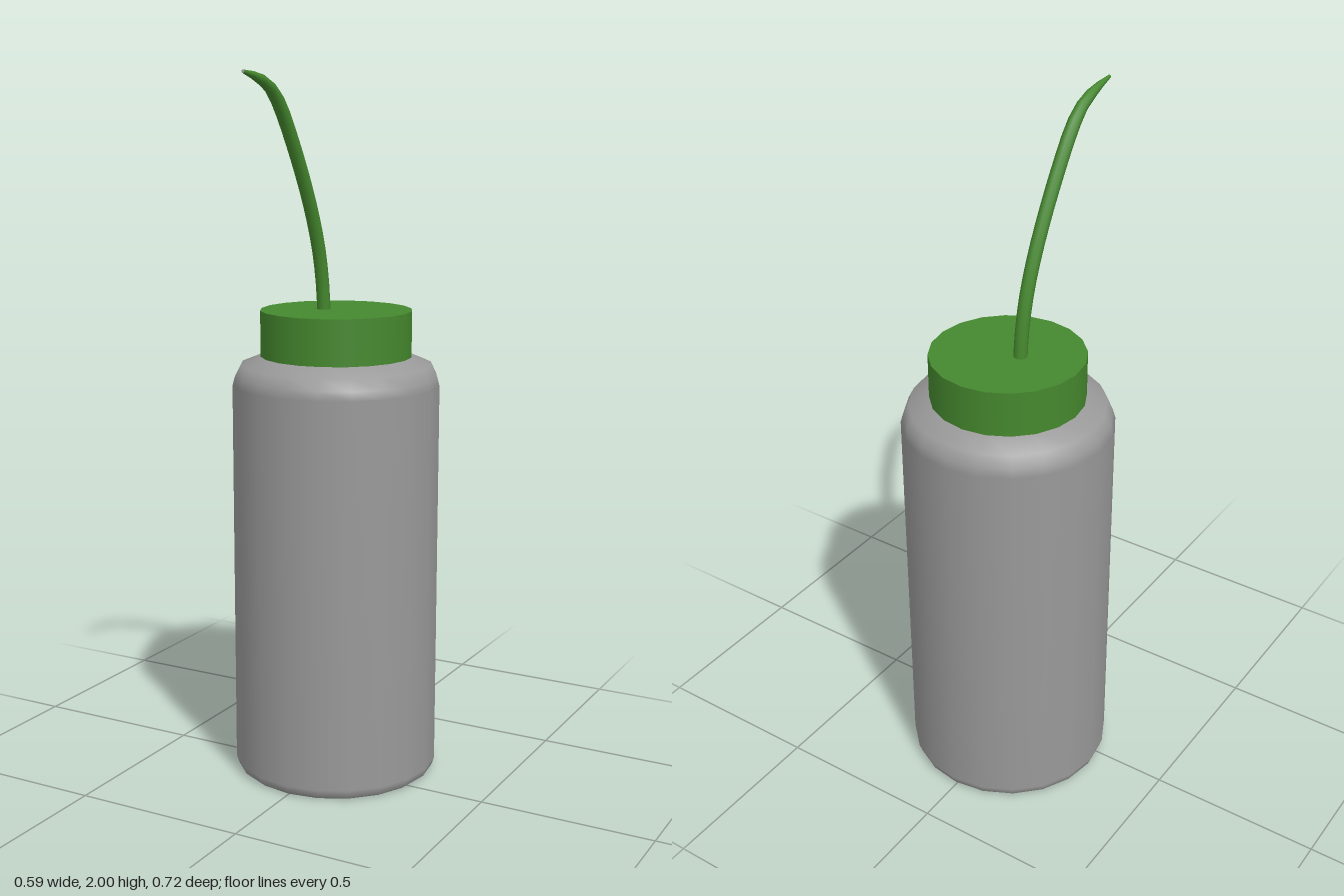
import * as THREE from 'three';

const SIDES = 20;
const AXIS_Z = -0.066;

export function createModel() {
  const model = new THREE.Group();
  model.name = 'squeezeBottle';

  const grey = new THREE.MeshStandardMaterial({ color: 0x999999 });
  grey.name = 'bottle grey';
  const green = new THREE.MeshStandardMaterial({ color: 0x45882e });
  green.name = 'lid green';

  const add = (name, geometry, material, x, y, z) => {
    const mesh = new THREE.Mesh(geometry, material);
    mesh.name = name;
    mesh.position.set(x, y, z);
    model.add(mesh);
    return mesh;
  };

  // Bottle wall with a rounded shoulder and a small foot bevel
  const profile = [
    [0.278, 0], [0.288, 0.008], [0.295, 0.03], [0.295, 1.14],
    [0.288, 1.165], [0.272, 1.197], [0.21, 1.222],
  ].map(([r, y]) => new THREE.Vector2(r, y));
  add('bottleBody', new THREE.LatheGeometry(profile, SIDES), grey, 0, 0, AXIS_Z);

  // Flat underside
  const base = new THREE.CircleGeometry(0.278, SIDES);
  base.rotateX(Math.PI / 2);
  base.rotateY(Math.PI / 2);
  add('bottleBase', base, grey, 0, 0, AXIS_Z);

  // Screw lid
  add('lid', new THREE.CylinderGeometry(0.215, 0.215, 0.13, SIDES), green, 0, 1.285, AXIS_Z);

  // Curved spout, tapering towards its tip
  const path = new THREE.CatmullRomCurve3([
    [1.33, -0.064], [1.42, -0.055], [1.52, -0.033], [1.62, 0.005], [1.72, 0.055],
    [1.82, 0.114], [1.9, 0.168], [1.95, 0.215], [1.98, 0.28], [1.996, 0.36],
  ].map(([y, z]) => new THREE.Vector3(0, y, z)));
  const rings = 18;
  const round = 10;
  const spout = new THREE.TubeGeometry(path, rings, 0.019, round, false);
  const pos = spout.attributes.position;
  const point = new THREE.Vector3();
  for (let i = 0; i <= rings; i++) {
    const t = i / rings;
    const centre = path.getPointAt(t);
    const scale = t < 0.76
      ? 1
      : t < 0.9
        ? THREE.MathUtils.mapLinear(t, 0.76, 0.9, 1, 0.74)
        : THREE.MathUtils.mapLinear(t, 0.9, 1, 0.74, 0.24);
    for (let j = 0; j <= round; j++) {
      const k = i * (round + 1) + j;
      point.fromBufferAttribute(pos, k).sub(centre).multiplyScalar(scale).add(centre);
      pos.setXYZ(k, point.x, point.y, point.z);
    }
  }
  add('spout', spout, green, -0.038, 0, 0);

  // Small closed end of the spout
  const tip = add('spoutTip', new THREE.CircleGeometry(0.0046, round), grey, -0.038, 1.996, 0.36);
  tip.rotation.x = -0.2;

  return model;
}
